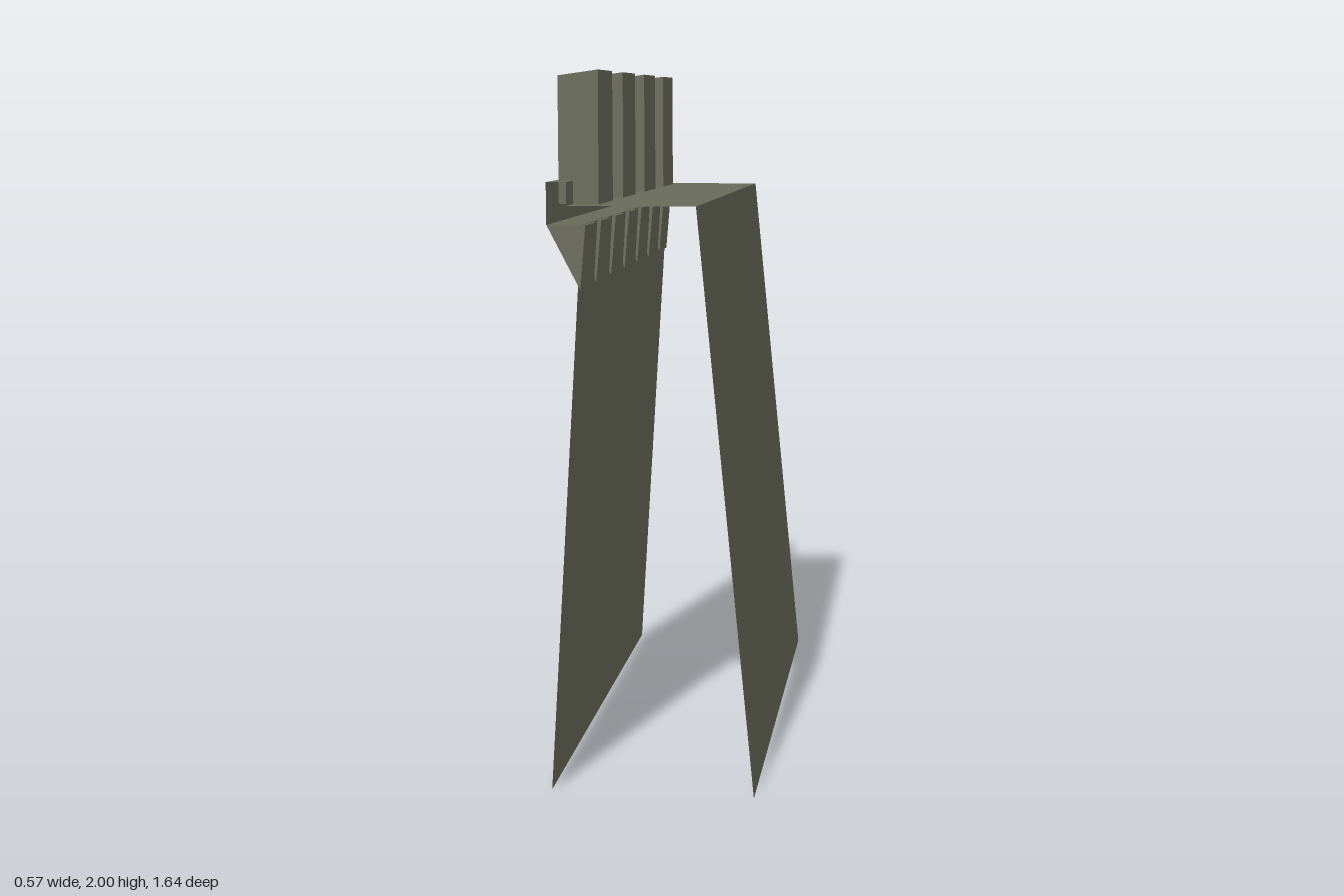
import * as THREE from 'three';

const HALF = 0.82; // half length of the wall along z

// Open sheet swept along z through a list of [x, y] points
function sheet(points) {
  const pos = [];
  for (let i = 0; i < points.length - 1; i++) {
    const [ax, ay] = points[i];
    const [bx, by] = points[i + 1];
    const a = [ax, ay, HALF], b = [bx, by, HALF], c = [bx, by, -HALF], d = [ax, ay, -HALF];
    pos.push(...a, ...b, ...c, ...a, ...c, ...d);
  }
  const g = new THREE.BufferGeometry();
  g.setAttribute('position', new THREE.Float32BufferAttribute(pos, 3));
  g.computeVertexNormals();
  return g;
}

// Block that widens towards the walkway, with a top sloping outwards
function merlonGeometry() {
  const g = new THREE.BoxGeometry(1, 1, 1).toNonIndexed();
  const p = g.attributes.position;
  for (let i = 0; i < p.count; i++) {
    const inner = p.getX(i) > 0;
    const top = inner ? 2.0 : 1.985;
    p.setXYZ(i, inner ? -0.157 : -0.272, p.getY(i) > 0 ? top : 1.637, p.getZ(i) * (inner ? 0.23 : 0.19));
  }
  g.computeVertexNormals();
  return g;
}

export function createModel() {
  const model = new THREE.Group();
  model.name = 'castleWall';
  const stone = new THREE.MeshStandardMaterial({ color: 0x686a59, flatShading: true, side: THREE.DoubleSide });
  stone.name = 'stone';

  const add = (name, geometry, z = 0) => {
    const mesh = new THREE.Mesh(geometry, stone);
    mesh.name = name;
    mesh.position.z = z;
    model.add(mesh);
  };

  // Leaning wall faces, parapet and walkway, open at both ends
  add('outerWall', sheet([[-0.285, 0], [-0.189, 1.585]]));
  add('parapet', sheet([[-0.189, 1.585], [-0.285, 1.585], [-0.285, 1.7], [-0.23, 1.7], [-0.23, 1.637]]));
  add('walkway', sheet([[-0.23, 1.637], [0.122, 1.637]]));
  add('innerWall', sheet([[0.122, 1.637], [0.285, 0]]));

  // Merlons
  const merlon = merlonGeometry();
  for (const z of [-0.615, -0.205, 0.205, 0.615]) add('merlon', merlon, z);

  // Triangular corbels under the parapet, flush with both ends
  const count = 7, width = 0.165;
  const shape = new THREE.Shape([
    new THREE.Vector2(-0.284, 1.584),
    new THREE.Vector2(-0.193, 1.41),
    new THREE.Vector2(-0.178, 1.584),
  ]);
  const corbel = new THREE.ExtrudeGeometry(shape, { depth: width, bevelEnabled: false });
  for (let i = 0; i < count; i++) {
    add('corbel', corbel, -HALF + (i * (2 * HALF - width)) / (count - 1));
  }
  return model;
}
